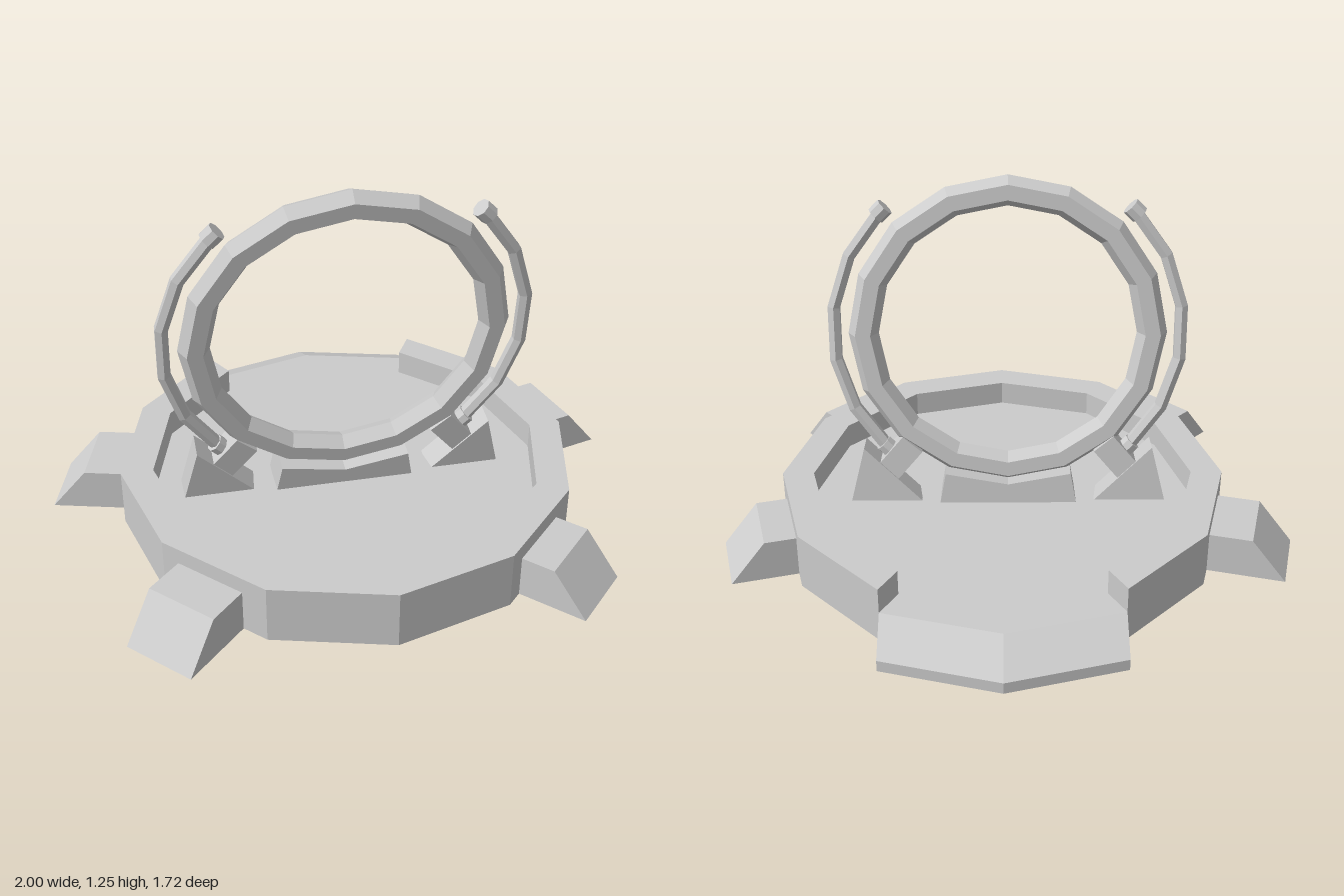
import * as THREE from 'three';

const rad = THREE.MathUtils.degToRad;
const material = new THREE.MeshStandardMaterial({
  color: 0xcccccc, flatShading: true, side: THREE.DoubleSide,
});

function addMesh(parent, geometry, name) {
  const mesh = new THREE.Mesh(geometry, material);
  mesh.name = name;
  parent.add(mesh);
  return mesh;
}

// Prism from a side profile, centred on its own depth
function prism(points, depth) {
  const shape = new THREE.Shape(points.map(([x, y]) => new THREE.Vector2(x, y)));
  const geometry = new THREE.ExtrudeGeometry(shape, { depth, bevelEnabled: false });
  return geometry.translate(0, 0, -depth / 2);
}

// Surface made of triangles and quads given by their corners
function surface(faces) {
  const pos = [];
  for (const f of faces) {
    for (let i = 1; i < f.length - 1; i++) pos.push(...f[0], ...f[i], ...f[i + 1]);
  }
  const geometry = new THREE.BufferGeometry();
  geometry.setAttribute('position', new THREE.Float32BufferAttribute(pos, 3));
  geometry.computeVertexNormals();
  return geometry;
}

// Twelve-sided platform
const CX = 0.02, CZ = 0.05, OUTER = 0.78, INNER = 0.67;
const TOP = 0.2, FLOOR = 0.11, LIP = 0.04, RAMP = 0.145;
const corner = (k, r, y, dz = 0) =>
  [CX + r * Math.sin(rad(30 * k)), y, CZ + r * Math.cos(rad(30 * k)) + dz];

function buildPlatform(parent) {
  // Rim wall, open across the two back segments
  const wall = [];
  for (let k = -5; k < 5; k++) {
    wall.push(
      [corner(k, OUTER, 0), corner(k + 1, OUTER, 0), corner(k + 1, OUTER, TOP), corner(k, OUTER, TOP)],
      [corner(k, OUTER, TOP), corner(k + 1, OUTER, TOP), corner(k + 1, INNER, TOP), corner(k, INNER, TOP)],
      [corner(k + 1, INNER, FLOOR), corner(k, INNER, FLOOR), corner(k, INNER, TOP), corner(k + 1, INNER, TOP)],
    );
  }
  const end = k => [corner(k, OUTER, FLOOR), corner(k, INNER, FLOOR), corner(k, INNER, TOP), corner(k, OUTER, TOP)];
  wall.push(end(5), end(-5).reverse());
  addMesh(parent, surface(wall), 'rimWall');

  // Floor, reaching the outer edge at the opening
  const floor = [];
  for (let k = -5; k < 7; k++) {
    const r = k < 5 ? INNER : OUTER;
    floor.push([[CX, FLOOR, CZ], corner(k, r, FLOOR), corner(k + 1, r, FLOOR)]);
  }
  addMesh(parent, surface(floor), 'floor');

  // Entry ramp with a low front lip
  const ramp = [];
  for (const k of [5, 6]) {
    ramp.push(
      [corner(k + 1, OUTER, FLOOR), corner(k, OUTER, FLOOR), corner(k, OUTER, LIP, -RAMP), corner(k + 1, OUTER, LIP, -RAMP)],
      [corner(k, OUTER, 0, -RAMP), corner(k + 1, OUTER, 0, -RAMP), corner(k + 1, OUTER, LIP, -RAMP), corner(k, OUTER, LIP, -RAMP)],
    );
  }
  const side = k => [corner(k, OUTER, 0), corner(k, OUTER, 0, -RAMP), corner(k, OUTER, LIP, -RAMP), corner(k, OUTER, FLOOR)];
  ramp.push(side(5), side(7).reverse());
  addMesh(parent, surface(ramp), 'ramp');
}

// Sloped feet around the platform
function buildFeet(parent) {
  const profile = [[0.72, 0], [1, 0], [0.88, 0.145], [0.72, 0.145]];
  for (const angle of [15, 165, -45, -135]) {
    const foot = addMesh(parent, prism(profile, 0.25), 'foot');
    foot.rotation.y = rad(angle);
    foot.position.z = CZ;
  }
}

// Leaning ring with its cradle and side arms
function buildRing(parent) {
  const CY = 0.712;
  const gate = new THREE.Group();
  gate.name = 'ringAssembly';
  gate.position.set(0, CY, 0.14);
  gate.rotation.x = rad(8);
  parent.add(gate);

  addMesh(gate, new THREE.TorusGeometry(0.495, 0.052, 6, 16), 'ring');

  const local = points => points.map(([x, y]) => [x, y - CY]);
  const cradle = [[-0.24, 0.1], [0.24, 0.1], [0.22, 0.21], [0, 0.17], [-0.22, 0.21]];
  addMesh(gate, prism(local(cradle), 0.14), 'cradle');

  for (const s of [1, -1]) {
    // Wedge standing on the floor
    let wedge = local([[0.305, 0.1], [0.555, 0.1], [0.505, 0.3]]).map(([x, y]) => [s * x, y]);
    addMesh(gate, prism(wedge, 0.1), 'supportWedge');

    // Block joining ring and wedge
    const a = rad(-50);
    const block = addMesh(gate, new THREE.BoxGeometry(0.15, 0.088, 0.09), 'supportBlock');
    block.position.set(s * 0.597 * Math.cos(a), 0.597 * Math.sin(a), 0);
    block.rotation.z = s * a;

    // Curved arm beside the ring
    const path = new THREE.CurvePath();
    const at = deg => new THREE.Vector3(s * 0.6 * Math.cos(rad(deg)), 0.6 * Math.sin(rad(deg)), 0);
    const stops = [-45, -27, -9, 9, 27, 45];
    for (let i = 0; i < 5; i++) path.add(new THREE.LineCurve3(at(stops[i]), at(stops[i + 1])));
    // Sample the rings exactly at the bends, with mitred tangents
    path.getPointAt = u => at(-45 + 90 * u);
    path.getTangentAt = u => at(-44.9 + 90 * u).sub(at(-45.1 + 90 * u)).normalize();
    addMesh(gate, new THREE.TubeGeometry(path, 5, 0.024, 6, false), 'sideArm');

    // Caps at both ends of the arm
    for (const deg of [45, -45]) {
      const cap = addMesh(gate, new THREE.CylinderGeometry(0.032, 0.032, 0.045, 8), 'armCap');
      cap.position.copy(at(deg));
      cap.rotation.z = s * rad(deg);
    }
  }
}

export function createModel() {
  const model = new THREE.Group();
  model.name = 'ringPlatform';
  buildPlatform(model);
  buildFeet(model);
  buildRing(model);
  return model;
}
